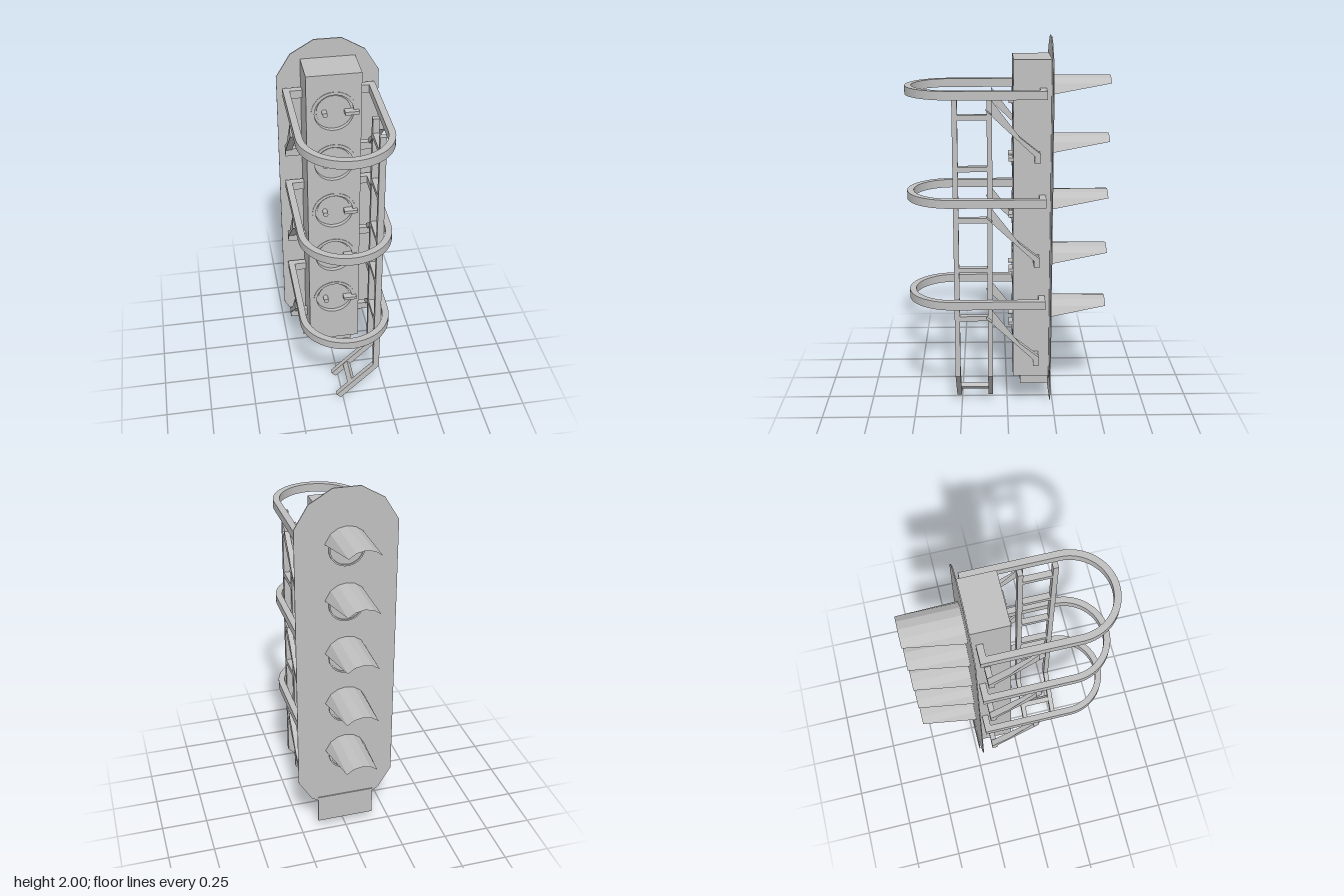
import * as THREE from 'three';

export function createModel() {
  const model = new THREE.Group();
  model.name = 'signalHead';
  const grey = new THREE.MeshStandardMaterial({ color: 0xc0c0c0 });
  grey.name = 'paintedGrey';
  const greySheet = new THREE.MeshStandardMaterial({ color: 0xc0c0c0, side: THREE.DoubleSide });
  greySheet.name = 'sheetGrey';

  const add = (name, geometry, material = grey, parent = model) => {
    const mesh = new THREE.Mesh(geometry, material);
    mesh.name = name;
    parent.add(mesh);
    return mesh;
  };
  // box given by its limits on each axis
  const block = (name, x0, x1, y0, y1, z0, z1, parent) => {
    const g = new THREE.BoxGeometry(x1 - x0, y1 - y0, z1 - z0);
    g.translate((x0 + x1) / 2, (y0 + y1) / 2, (z0 + z1) / 2);
    return add(name, g, grey, parent);
  };
  const polygon = (pts) => new THREE.Shape(pts.map(([x, y]) => new THREE.Vector2(x, y)));
  const extrude = (shape, depth, z) =>
    new THREE.ExtrudeGeometry(shape, { depth, bevelEnabled: false, curveSegments: 24 }).translate(0, 0, z);
  // flat disc or short cylinder facing along z
  const drum = (name, r, x, y, z0, z1, parent) => {
    const g = new THREE.CylinderGeometry(r, r, z1 - z0, 32);
    g.rotateX(Math.PI / 2).translate(x, y, (z0 + z1) / 2);
    return add(name, g, grey, parent);
  };

  const lampY = [0, 1, 2, 3, 4].map((i) => 1.69 - 0.301 * i);

  // backing plate with clipped corners
  const half = [[0.07, 2], [0.19, 1.93], [0.263, 1.81], [0.263, 0.33], [0.19, 0.21], [0.07, 0.14]];
  const outline = [...half, ...half.slice().reverse().map(([x, y]) => [-x, y])];
  add('backingPlate', extrude(polygon(outline), 0.006, -0.228));
  block('numberPlate', -0.156, 0.156, 0.05, 0.21, -0.234, -0.228);

  // housing, with round access doors sunk in its front
  block('housing', -0.14, 0.14, 0.185, 1.9, -0.222, -0.05);
  const face = polygon([[-0.14, 0.185], [0.14, 0.185], [0.14, 1.9], [-0.14, 1.9]]);
  lampY.forEach((y) => face.holes.push(new THREE.Path().absarc(0, y, 0.1, 0, Math.PI * 2, true)));
  add('housingFace', extrude(face, 0.02, -0.05));
  block('cableBox', -0.105, 0.105, 0.125, 0.185, -0.222, -0.07);

  // visor: a tube section, cut back towards the tip
  const visorGeometry = () => {
    const r = 0.115, deg = Math.PI / 180;
    const base = [15, 45, 67.5, 90, 112.5, 135, 165];
    const tip = [45, 45, 67.5, 90, 112.5, 135, 135];
    const p = (a, z) => [r * Math.cos(a * deg), r * Math.sin(a * deg), z];
    const pos = [];
    for (let i = 0; i < base.length - 1; i++) {
      const a = p(base[i], -0.228), b = p(base[i + 1], -0.228);
      const c = p(tip[i], -0.53), d = p(tip[i + 1], -0.53);
      if (tip[i] !== tip[i + 1]) pos.push(...a, ...d, ...c);
      pos.push(...a, ...b, ...d);
    }
    const g = new THREE.BufferGeometry();
    g.setAttribute('position', new THREE.Float32BufferAttribute(pos, 3));
    g.computeVertexNormals();
    return g;
  };

  lampY.forEach((y) => {
    const lamp = new THREE.Group();
    lamp.name = 'lamp';
    lamp.position.y = y;
    model.add(lamp);
    add('visor', visorGeometry(), greySheet, lamp);
    drum('lens', 0.084, 0, 0, -0.232, -0.226, lamp);
    const ring = (r0, r1, depth, z, name) => {
      const s = new THREE.Shape().absarc(0, 0, r1, 0, Math.PI * 2, false);
      s.holes.push(new THREE.Path().absarc(0, 0, r0, 0, Math.PI * 2, true));
      add(name, extrude(s, depth, z), grey, lamp);
    };
    ring(0.084, 0.092, 0.012, -0.238, 'lensRim');
    ring(0.1, 0.116, 0.003, -0.03, 'doorRim');
    drum('door', 0.088, 0, 0, -0.05, -0.044, lamp);
    drum('doorKnob', 0.013, -0.048, 0, -0.045, -0.006, lamp);
    block('doorHandle', 0.053, 0.125, -0.009, 0.009, -0.045, -0.006, lamp);
  });

  // safety hoops, each with a pair of slanted braces
  const hoopShape = new THREE.Shape();
  const ro = 0.237, ri = 0.203, zc = 0.29;
  hoopShape.moveTo(ro, -0.197);
  hoopShape.lineTo(ro, zc);
  hoopShape.absarc(0, zc, ro, 0, Math.PI, false);
  hoopShape.lineTo(-ro, -0.197);
  hoopShape.lineTo(-0.14, -0.197);
  hoopShape.lineTo(-0.14, -0.163);
  hoopShape.lineTo(-ri, -0.163);
  hoopShape.lineTo(-ri, zc);
  hoopShape.absarc(0, zc, ri, Math.PI, 0, true);
  hoopShape.lineTo(ri, -0.163);
  hoopShape.lineTo(0.14, -0.163);
  hoopShape.lineTo(0.14, -0.197);
  hoopShape.closePath();

  // brace outline, as z and y measured from the hoop's underside
  const brace = polygon([[0.112, 0], [0.082, 0], [0.082, -0.045], [-0.135, -0.284],
    [-0.135, -0.32], [-0.165, -0.32], [-0.165, -0.272], [0.112, -0.05]]
    .map(([z, y]) => (y === -0.045 ? [z, -0.075] : [z, y])));

  [1.713, 1.16, 0.608].forEach((y) => {
    const stage = new THREE.Group();
    stage.name = 'hoopStage';
    stage.position.y = y;
    model.add(stage);
    const hoop = extrude(hoopShape, 0.044, 0);
    hoop.rotateX(Math.PI / 2).translate(0, 0.044, 0);
    add('hoop', hoop, grey, stage);
    for (const side of [1, -1]) {
      const g = extrude(brace, 0.034, -0.017);
      g.rotateY(-Math.PI / 2).translate(side * 0.22, 0, 0);
      add('brace', g, grey, stage);
      const inner = side > 0 ? [0.14, 0.203] : [-0.203, -0.14];
      block('braceFoot', ...inner, -0.32, -0.278, -0.165, -0.135, stage);
    }
  });

  // ladder: two rails bent inward at the foot, with rungs between
  const rail = polygon([[0.17, 1.713], [0.17, 0.228], [-0.037, 0.024], [-0.013, 0],
    [0.203, 0.213], [0.203, 1.713]]);
  for (const z of [0.078, 0.253]) add('ladderRail', extrude(rail, 0.027, z));
  [1.62, 1.355, 1.085, 0.815, 0.545].forEach((y) =>
    block('ladderRung', 0.17, 0.203, y - 0.013, y + 0.013, 0.1, 0.258));
  const foot = new THREE.BoxGeometry(0.033, 0.026, 0.158);
  foot.rotateZ(Math.PI / 4);
  add('footRung', foot).position.set(0.05, 0.086, 0.179);

  return model;
}
